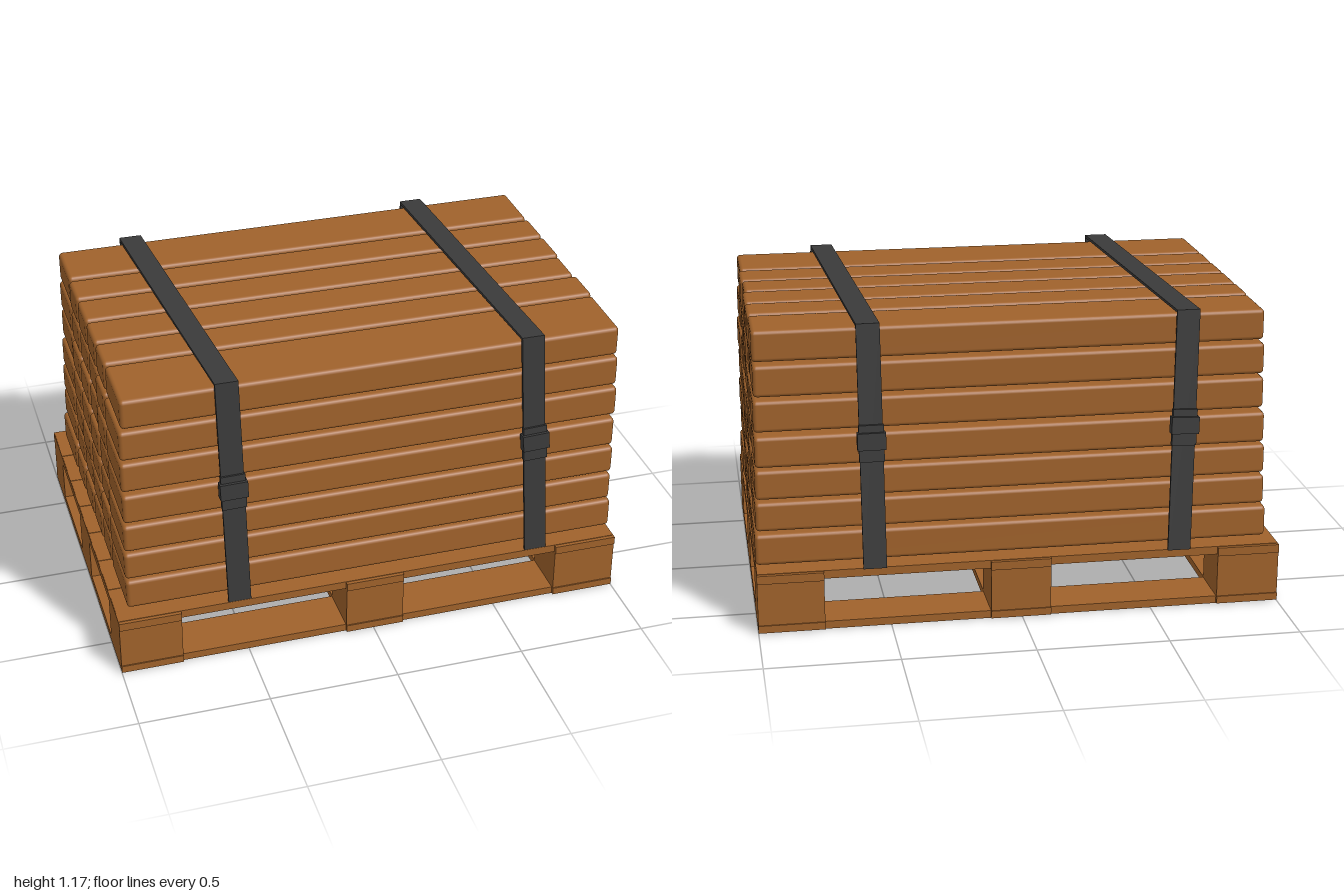
import * as THREE from 'three';
import { RoundedBoxGeometry } from 'three/addons/geometries/RoundedBoxGeometry.js';

const wood = new THREE.MeshStandardMaterial({ color: 0xa0622b });
wood.name = 'wood';
const webbing = new THREE.MeshStandardMaterial({ color: 0x3a3a3a });
webbing.name = 'dark webbing';

let seed = 7;
const jitter = (a) => {
  seed = (seed * 16807) % 2147483647;
  return (seed / 2147483647 - 0.5) * 2 * a;
};

function add(parent, name, geometry, material) {
  const mesh = new THREE.Mesh(geometry, material);
  mesh.name = name;
  parent.add(mesh);
  return mesh;
}

// Box given by its limits on each axis
function box(parent, name, [x0, x1], [y0, y1], [z0, z1], radius = 0) {
  const size = [x1 - x0, y1 - y0, z1 - z0];
  const geometry = radius ? new RoundedBoxGeometry(...size, 2, radius) : new THREE.BoxGeometry(...size);
  const mesh = add(parent, name, geometry, wood);
  mesh.position.set((x0 + x1) / 2, (y0 + y1) / 2, (z0 + z1) / 2);
  return mesh;
}

function createPallet() {
  const pallet = new THREE.Group();
  pallet.name = 'pallet';
  const xs = [[-1, -0.76], [-0.11, 0.12], [0.75, 1]];
  const zs = [[-0.695, -0.495], [-0.105, 0.1], [0.495, 0.695]];
  for (const x of xs) {
    for (const z of zs) box(pallet, 'palletBlock', x, [0.02, 0.215], z);
    box(pallet, 'bottomCrossBoard', x, [0.004, 0.033], [-0.7, 0.7]);
    box(pallet, 'topCrossBoard', x, [0.2, 0.233], [-0.7, 0.7]);
  }
  for (const z of zs) {
    const inset = [Math.max(z[0], -0.685), Math.min(z[1], 0.685)];
    box(pallet, 'bottomRunner', [-0.99, 0.99], [0, 0.03], inset);
  }
  // Deck planks
  const n = 7, pitch = 1.37 / n;
  for (let i = 0; i < n; i++) {
    const z = -0.685 + i * pitch;
    box(pallet, 'deckPlank', [-0.998, 0.998], [0.203, 0.235], [z, z + pitch - (i < n - 1 ? 0.012 : 0)]);
  }
  return pallet;
}

function createBeams() {
  const stack = new THREE.Group();
  stack.name = 'beamStack';
  const rows = [[0.25, 0.37], [0.38, 0.492], [0.502, 0.615], [0.625, 0.744], [0.76, 0.88], [0.893, 1.013], [1.025, 1.143]];
  rows.forEach((y, i) => {
    const t = i / 6, lerp = THREE.MathUtils.lerp;
    const columns = [
      [lerp(-0.637, -0.597, t), -0.363], [-0.343, -0.188], [-0.172, -0.008],
      [0.005, 0.162], [0.176, 0.332], [0.348, lerp(0.637, 0.615, t)],
    ];
    for (const z of columns) {
      const x = [lerp(-0.955, -0.938, t) + jitter(0.004), lerp(0.996, 0.985, t) + jitter(0.004)];
      const beam = box(stack, 'beam', x, y, z, 0.015);
      beam.rotation.x = jitter(0.008);
    }
  });
  return stack;
}

// Strap looped over the stack; x holds its middle at front bottom, front top, back top, back bottom
function createStrap(x) {
  const strap = new THREE.Group();
  strap.name = 'strap';
  const width = 0.088;
  const outline = [
    [0.684, 0.233], [0.627, 1.166], [-0.616, 1.161], [-0.691, 0.233],
    [-0.68, 0.233], [-0.606, 1.15], [0.616, 1.155], [0.673, 0.233],
  ].map(([z, y]) => new THREE.Vector2(z, y));
  const band = new THREE.ExtrudeGeometry(new THREE.Shape(outline), { depth: width, bevelEnabled: false });
  band.translate(0, 0, -width / 2).rotateY(-Math.PI / 2);
  const p = band.attributes.position;
  for (let i = 0; i < p.count; i++) {
    const top = p.getY(i) > 0.7, front = p.getZ(i) > 0;
    p.setX(i, p.getX(i) + (front ? (top ? x[1] : x[0]) : (top ? x[2] : x[3])));
  }
  band.computeVertexNormals();
  add(strap, 'strapBand', band, webbing);

  // Tensioning buckles on front and back
  for (const side of [1, -1]) {
    const buckle = new THREE.Group();
    buckle.name = 'buckle';
    add(buckle, 'bucklePlate', new THREE.BoxGeometry(0.094, 0.14, 0.02), webbing);
    add(buckle, 'buckleClamp', new THREE.BoxGeometry(0.106, 0.065, 0.036), webbing).position.set(0, 0.01, side * 0.005);
    const [low, high] = side > 0 ? [x[0], x[1]] : [x[3], x[2]];
    buckle.position.set((low + high) / 2, 0.715, side * 0.653);
    buckle.rotation.set(-side * 0.065, 0, Math.atan2(low - high, 0.93));
    strap.add(buckle);
  }
  return strap;
}

export function createModel() {
  const model = new THREE.Group();
  model.name = 'strappedBeamPallet';
  model.add(
    createPallet(),
    createBeams(),
    createStrap([-0.53, -0.545, -0.637, -0.607]),
    createStrap([0.668, 0.63, 0.562, 0.558]),
  );
  return model;
}
